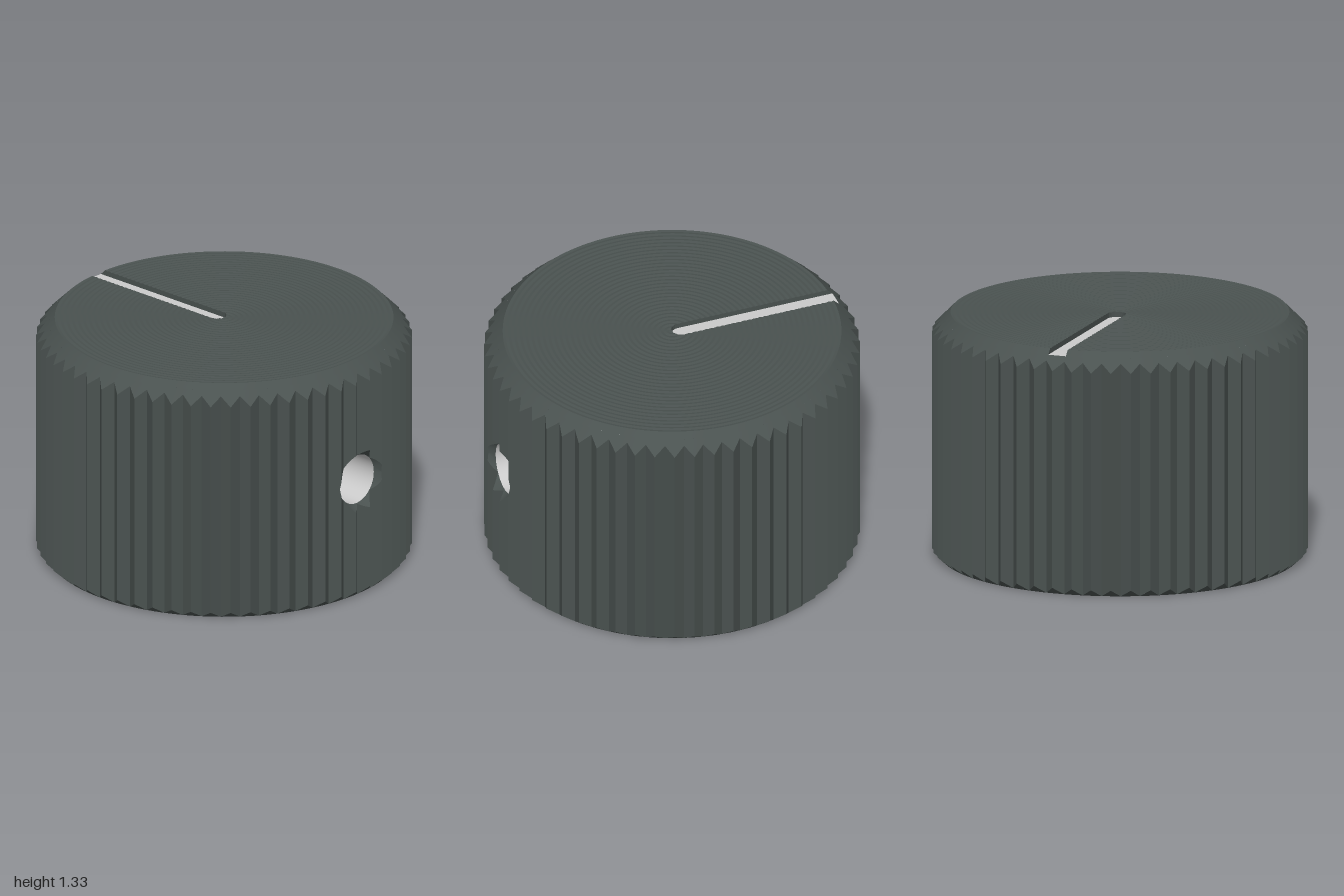
import * as THREE from 'three';
import { toCreasedNormals } from 'three/addons/utils/BufferGeometryUtils.js';

const TEETH = 59, COLS = TEETH * 2;
const R = 1, VALLEY = 0.955, HEIGHT = 1.325;
const TOP_R = 0.9, SLOT_END = 0.93, SLOT_W = 0.05, FLOOR = HEIGHT - (SLOT_END - TOP_R);
const BORE_R = 0.305, BORE_Y = 0.325, BORE_TOP = 1.0;
const HOLE_Y = 0.66, HOLE_R = 0.137, SINK_Z = 0.95;

const dark = new THREE.MeshStandardMaterial({ color: 0x4a5250 });
const pale = new THREE.MeshStandardMaterial({ color: 0xcccccc, side: THREE.DoubleSide });

// Collects quads (corners counter-clockwise from outside) into a geometry with sharp creases
function quadBuilder() {
  const pos = [];
  return {
    quad(a, b, c, d) { for (const p of [a, b, c, a, c, d]) pos.push(...p); },
    build() {
      const g = new THREE.BufferGeometry();
      g.setAttribute('position', new THREE.Float32BufferAttribute(pos, 3));
      return toCreasedNormals(g, 0.3);
    },
  };
}

const polar = (r, a, y) => [r * Math.sin(a), y, r * Math.cos(a)];
const at = (p, y) => [p.x, y, p.z];

// Closed ring of wall corners, each straight facet split into n columns
function ring(radiusOf, y0Of, y1Of, n) {
  const corner = (i) => {
    const r = radiusOf(i), a = (i * Math.PI) / TEETH;
    return { x: r * Math.sin(a), z: r * Math.cos(a), y0: y0Of(r), y1: y1Of(r) };
  };
  const pts = [];
  for (let i = 0; i < COLS; i++) {
    const a = corner(i), b = corner(i + 1);
    for (let k = 0; k < n; k++) {
      const p = {};
      for (const key in a) p[key] = THREE.MathUtils.lerp(a[key], b[key], k / n);
      pts.push(p);
    }
  }
  pts.push({ ...pts[0] });
  return pts;
}

// Half height of the set screw hole where it meets a wall point
function holeHalf(p) {
  if (p.z < 0) return 0;
  const r = HOLE_R + 0.75 * Math.max(0, p.z - SINK_Z);
  return Math.sqrt(Math.max(0, r * r - p.x * p.x));
}

// Vertical wall with the screw hole left open; sink adds the countersink around it
function wall(b, pts, sink) {
  const inner = ([x, y]) => {
    const l = Math.hypot(x, y - HOLE_Y) || 1;
    return [(x / l) * HOLE_R, HOLE_Y + ((y - HOLE_Y) / l) * HOLE_R, SINK_Z];
  };
  for (let i = 0; i < pts.length - 1; i++) {
    const p = pts[i], q = pts[i + 1], hp = holeHalf(p), hq = holeHalf(q);
    if (hp + hq === 0) {
      b.quad(at(p, p.y0), at(q, q.y0), at(q, q.y1), at(p, p.y1));
      continue;
    }
    const pl = at(p, HOLE_Y - hp), ql = at(q, HOLE_Y - hq);
    const pu = at(p, HOLE_Y + hp), qu = at(q, HOLE_Y + hq);
    b.quad(at(p, p.y0), at(q, q.y0), ql, pl);
    b.quad(pu, qu, at(q, q.y1), at(p, p.y1));
    if (sink) {
      b.quad(pl, ql, inner(ql), inner(pl));
      b.quad(inner(pu), inner(qu), qu, pu);
    }
  }
}

// Knurled grip with chamfered ends
function gripGeometry() {
  const b = quadBuilder();
  const radius = (i) => (i % COLS % 2 ? R : VALLEY);
  const low = (r) => (r - VALLEY) * 0.9;
  const high = (r) => HEIGHT - (r - TOP_R);
  wall(b, ring(radius, low, high, 8), true);
  for (let i = 0; i < COLS; i++) {
    const a = (i * Math.PI) / TEETH, c = ((i + 1) * Math.PI) / TEETH;
    const ra = radius(i), rc = radius(i + 1);
    b.quad(polar(ra, a, high(ra)), polar(rc, c, high(rc)), polar(SLOT_END, c, FLOOR), polar(SLOT_END, a, FLOOR));
    b.quad(polar(VALLEY, a, 0), polar(VALLEY, c, 0), polar(rc, c, low(rc)), polar(ra, a, low(ra)));
  }
  return b.build();
}

// Turned top face with fine concentric rings, interrupted by the pointer slot
function topGeometry() {
  const b = quadBuilder(), rings = 60, rows = [];
  for (let i = 0; i <= rings; i++) rows.push([(TOP_R * i) / rings, HEIGHT - (i % 2 ? 0.003 : 0)]);
  rows.push([SLOT_END, FLOOR]);
  // Half angle taken by the slot: round end near the axis, then parallel sides
  const gap = (r) => (r < SLOT_W * Math.SQRT2 ? Math.acos(r / (2 * SLOT_W)) : Math.asin(SLOT_W / r));
  const point = ([r, y], j) => {
    const g = gap(r);
    return polar(r, Math.PI + g + (j / COLS) * (2 * Math.PI - 2 * g), y);
  };
  const drop = ([x, , z]) => [x, FLOOR, z];
  for (let i = 0; i < rows.length - 1; i++) {
    const s = rows[i], t = rows[i + 1];
    for (let j = 0; j < COLS; j++) b.quad(point(t, j), point(t, j + 1), point(s, j + 1), point(s, j));
    const a = point(s, 0), c = point(t, 0), d = point(s, COLS), e = point(t, COLS);
    b.quad(drop(a), drop(c), c, a);
    b.quad(drop(e), drop(d), d, e);
  }
  return b.build();
}

// Pale floor of the pointer slot
function pointerGeometry() {
  const end = Math.sqrt(SLOT_END ** 2 - SLOT_W ** 2);
  const s = new THREE.Shape();
  s.moveTo(SLOT_W, SLOT_W);
  s.lineTo(SLOT_W, end);
  s.lineTo(0, SLOT_END);
  s.lineTo(-SLOT_W, end);
  s.lineTo(-SLOT_W, SLOT_W);
  s.absarc(0, SLOT_W, SLOT_W, Math.PI, 2 * Math.PI, false);
  return new THREE.ShapeGeometry(s, 12).rotateX(-Math.PI / 2).translate(0, FLOOR, 0);
}

function latheGeometry(profile) {
  const g = new THREE.LatheGeometry(profile.map(([x, y]) => new THREE.Vector2(x, y)), COLS);
  return toCreasedNormals(g, 0.3);
}

// Shaft bore, pierced by the screw hole
function boreGeometry() {
  const b = quadBuilder();
  wall(b, ring(() => BORE_R, () => BORE_Y, () => BORE_TOP, 3).reverse(), false);
  return b.build();
}

// Lining of the screw hole, trimmed to the round bore
function holeGeometry() {
  const g = new THREE.CylinderGeometry(HOLE_R, HOLE_R, 1, 64, 1, true).rotateX(Math.PI / 2);
  const p = g.attributes.position;
  for (let i = 0; i < p.count; i++) {
    p.setZ(i, p.getZ(i) > 0 ? SINK_Z : Math.sqrt(BORE_R ** 2 - p.getX(i) ** 2));
  }
  return g.translate(0, HOLE_Y, 0);
}

export function createModel() {
  const knob = new THREE.Group();
  knob.name = 'knob';
  const add = (name, geometry, material = dark) => {
    const m = new THREE.Mesh(geometry, material);
    m.name = name;
    knob.add(m);
  };
  add('knurledGrip', gripGeometry());
  add('topFace', topGeometry());
  add('pointerSlot', pointerGeometry(), pale);
  // Bottom rim, hollow underside and raised boss
  add('underside', latheGeometry([
    [BORE_R, BORE_Y], [0.44, BORE_Y], [0.44, 0.365], [0.905, 0.365], [0.905, 0], [VALLEY, 0],
  ]));
  add('shaftBore', boreGeometry());
  add('boreEnd', latheGeometry([[0, BORE_TOP], [BORE_R, BORE_TOP]]));
  add('setScrewHole', holeGeometry(), pale);
  return knob;
}
